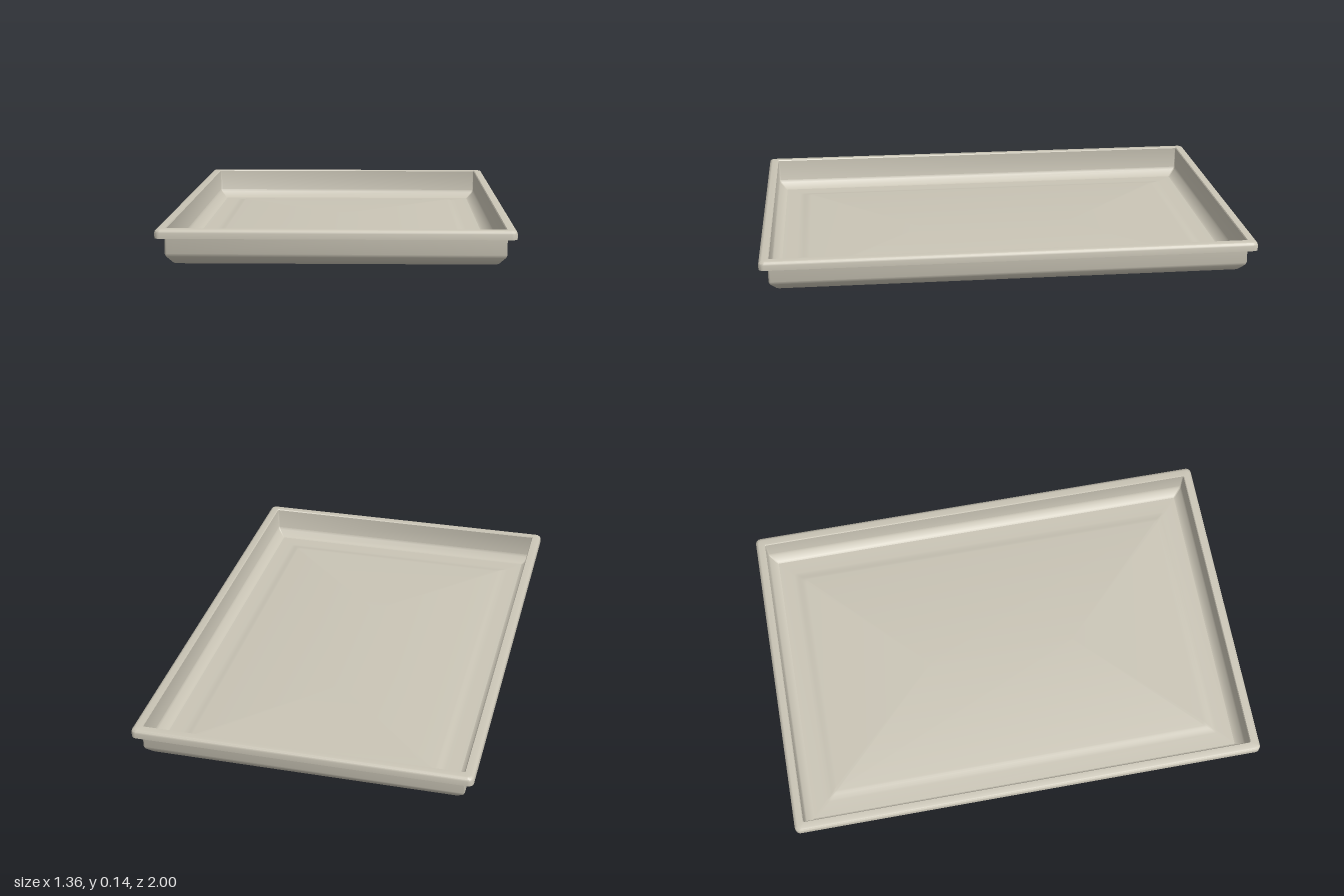
import * as THREE from 'three';
import { toCreasedNormals } from 'three/addons/utils/BufferGeometryUtils.js';

const HALF_X = 0.68, HALF_Z = 1, ARC = 5;

// Rounded rectangle at distance d inside the outer edge, height y, corner radius r
function ring([d, y, r]) {
  const hx = HALF_X - d, hz = HALF_Z - d, points = [];
  for (let q = 0; q < 4; q++) {
    const sx = q === 0 || q === 3 ? 1 : -1, sz = q < 2 ? 1 : -1;
    for (let k = 0; k <= ARC; k++) {
      const a = (q + k / ARC) * Math.PI / 2;
      points.push(new THREE.Vector3(sx * (hx - r) + r * Math.cos(a), y, sz * (hz - r) + r * Math.sin(a)));
    }
  }
  return points;
}

// Skin neighbouring rings; the profile runs outward on top and inward below
function skin(profile, crease) {
  const rings = profile.map(ring), pos = [];
  const tri = (a, b, c) => {
    const area = b.clone().sub(a).cross(c.clone().sub(a)).length();
    if (area > 1e-9) for (const p of [a, b, c]) pos.push(p.x, p.y, p.z);
  };
  for (let i = 0; i < rings.length - 1; i++) {
    const inner = rings[i], outer = rings[i + 1], n = inner.length;
    for (let j = 0; j < n; j++) {
      const k = (j + 1) % n;
      tri(inner[j], outer[k], outer[j]);
      tri(inner[j], inner[k], outer[k]);
    }
  }
  const geometry = new THREE.BufferGeometry();
  geometry.setAttribute('position', new THREE.Float32BufferAttribute(pos, 3));
  return toCreasedNormals(geometry, crease);
}

export function createModel() {
  const model = new THREE.Group();
  model.name = 'tray';
  const metal = new THREE.MeshStandardMaterial({ color: 0xcac5b6 });
  metal.name = 'warm grey';
  const add = (name, profile) => {
    const mesh = new THREE.Mesh(skin(profile, 0.6), metal);
    mesh.name = name;
    model.add(mesh);
  };

  // Gentle step up to the raised middle of the floor, from the centre outward
  const step = [[0.68, 0.008, 0]];
  for (let i = 0; i <= 6; i++) {
    const t = i / 6;
    step.push([0.19 - 0.05 * t, 0.008 * (1 - t * t * (3 - 2 * t)), 0.01]);
  }

  // Floor: upper face, and underside pressed to match
  add('floorTop', [...step.map(([d, y, r]) => [d, y + 0.005, r]), [0.078, 0.005, 0.004]]);
  add('floorUnderside', [[0.072, 0, 0.004], ...step.slice().reverse()]);

  // Sloped foot and upright wall, inside and outside
  add('innerWall', [
    [0.078, 0.005, 0.004], [0.07, 0.008, 0.004], [0.046, 0.031, 0.005],
    [0.041, 0.042, 0.006], [0.04, 0.136, 0.006],
  ]);
  add('outerWall', [
    [0.035, 0.135, 0.008], [0.035, 0.042, 0.008], [0.039, 0.031, 0.007],
    [0.064, 0.004, 0.005], [0.072, 0, 0.004],
  ]);

  // Hollow rim with a rounded outer edge and a turned-down lip
  add('rim', [
    [0.04, 0.136, 0.006], [0.037, 0.14, 0.008], [0.014, 0.14, 0.014],
    [0.007, 0.138, 0.018], [0.002, 0.133, 0.021], [0, 0.126, 0.022],
    [0, 0.105, 0.022], [0.005, 0.105, 0.018], [0.005, 0.126, 0.018],
    [0.011, 0.135, 0.014], [0.035, 0.135, 0.008],
  ]);
  return model;
}
